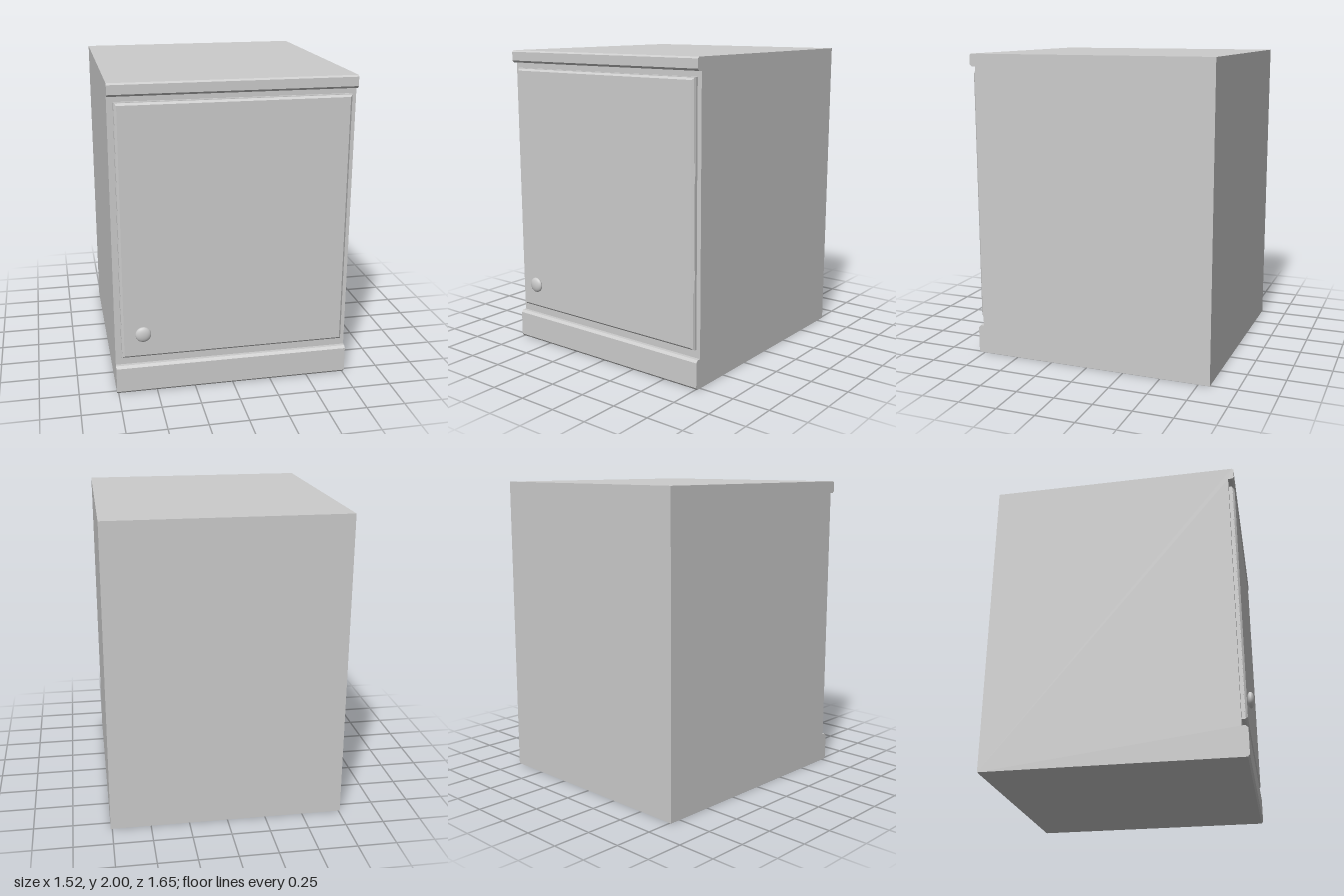
import * as THREE from 'three';

const material = new THREE.MeshStandardMaterial({ color: 0xcccccc });

function shapeFrom(points) {
  return new THREE.Shape(points.map(([x, y]) => new THREE.Vector2(x, y)));
}

function addPart(group, name, geometry) {
  const mesh = new THREE.Mesh(geometry, material);
  mesh.name = name;
  group.add(mesh);
  return mesh;
}

export function createModel() {
  const group = new THREE.Group();
  group.name = 'cabinet';
  const width = 1.52, back = -0.825, face = 0.752, front = 0.79;

  // Carcass: side profile (z, y) with projecting plinth and top rail, run across the width
  const profile = shapeFrom([
    [back, 0], [front - 0.012, 0], [front, 0.014],
    [front, 0.175], [front - 0.015, 0.19], [face, 0.19],
    [face, 1.92], [front - 0.013, 1.92], [front, 1.933],
    [front, 1.99], [front - 0.012, 2], [back, 2],
  ]);
  const carcass = new THREE.ExtrudeGeometry(profile, { depth: width, bevelEnabled: false });
  carcass.rotateY(-Math.PI / 2).translate(width / 2, 0, 0);
  addPart(group, 'carcass', carcass);

  // Door: a thin slab with a chamfered raised panel on its face
  const x0 = -0.722, x1 = 0.732, y0 = 0.243, y1 = 1.885;
  const slab = new THREE.BoxGeometry(x1 - x0, y1 - y0, 0.03);
  slab.translate((x0 + x1) / 2, (y0 + y1) / 2, 0.757);
  addPart(group, 'doorSlab', slab);

  const m = 0.004;
  const panelShape = shapeFrom([
    [x0 + m, y0 + m], [x1 - m, y0 + m], [x1 - m, y1 - m], [x0 + m, y1 - m],
  ]);
  const panel = new THREE.ExtrudeGeometry(panelShape, {
    depth: 0.02, bevelEnabled: true, bevelSegments: 1,
    bevelSize: 0.013, bevelThickness: 0.012, bevelOffset: -0.013,
  });
  panel.translate(0, 0, 0.756);
  addPart(group, 'doorPanel', panel);

  // Knob: flattened sphere near the lower corner of the door
  const knob = addPart(group, 'knob', new THREE.SphereGeometry(0.05, 32, 20));
  knob.scale.z = 0.44;
  knob.position.set(-0.585, 0.413, 0.806);

  return group;
}
